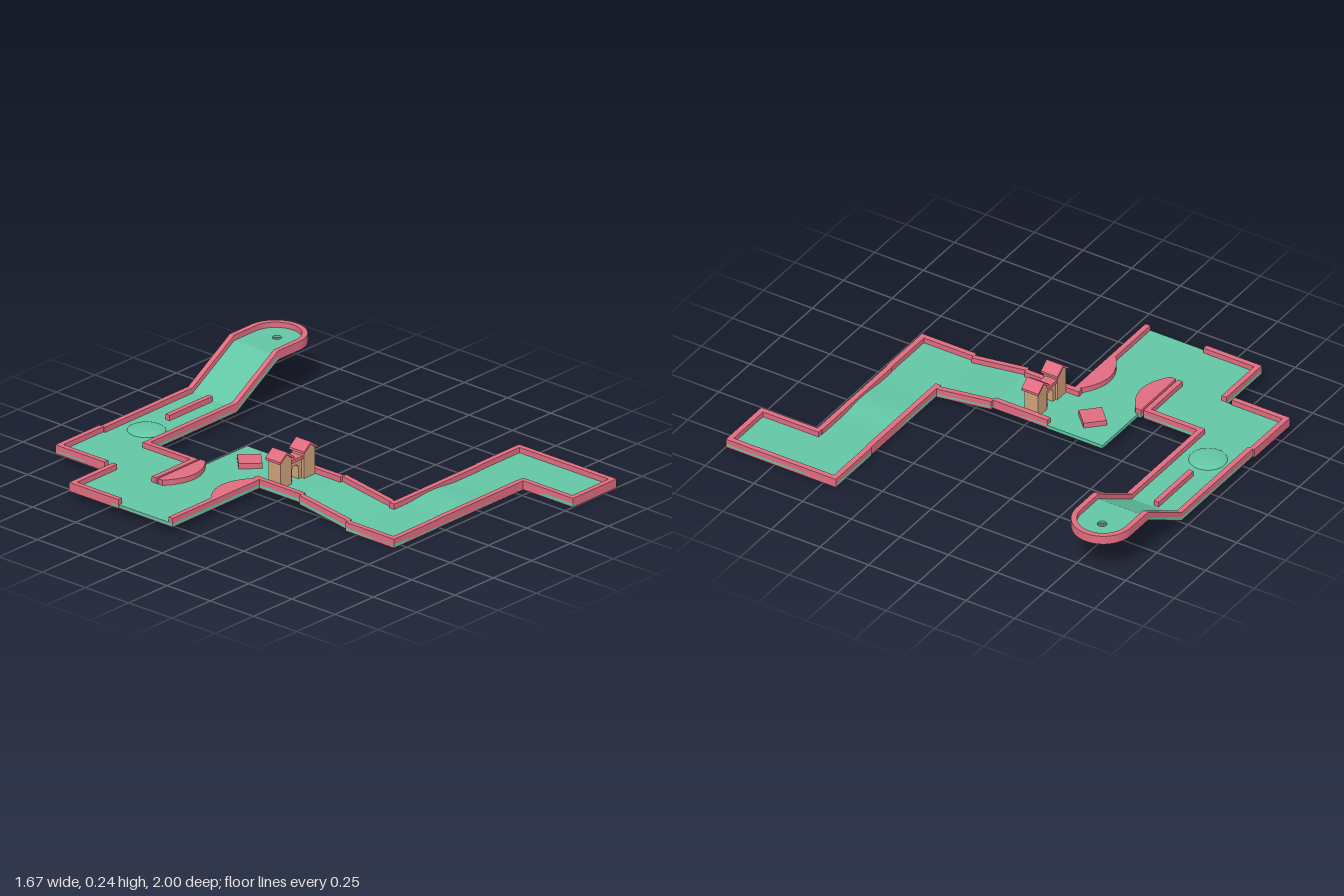
import * as THREE from 'three';

const mat = (color) => new THREE.MeshStandardMaterial({ color, side: THREE.DoubleSide });
const WALL = 0.042, BASE = 0.004, FLOOR = 0.017, T = 0.025;
const MID = 0.04, TOP = 0.2; // heights of the raised levels

export function createModel() {
  const red = mat(0xe06c80), green = mat(0x62c6a4), tan = mat(0xd0a07c), dark = mat(0x5c6b66);
  const course = new THREE.Group();
  course.name = 'miniGolfCourse';

  const add = (name, geo, material, parent = course) => {
    const mesh = new THREE.Mesh(geo, material);
    mesh.name = name;
    parent.add(mesh);
    return mesh;
  };

  // Box from its limits; lift(x, z) optionally raises the vertices
  const block = (name, material, [x0, x1], [y0, y1], [z0, z1], lift, parent) => {
    const geo = new THREE.BoxGeometry(x1 - x0, y1 - y0, z1 - z0);
    geo.translate((x0 + x1) / 2, (y0 + y1) / 2, (z0 + z1) / 2);
    if (lift) {
      const p = geo.attributes.position;
      for (let i = 0; i < p.count; i++) p.setY(i, p.getY(i) + lift(p.getX(i), p.getZ(i)));
      geo.computeVertexNormals();
    }
    return add(name, geo, material, parent);
  };

  // One tile: red base, green carpet and walls given as [xRange, zRange]
  const tile = (name, x, z, y, walls = [], lift) => {
    const g = new THREE.Group();
    g.name = name;
    course.add(g);
    block('base', red, x, [y, y + BASE], z, lift, g);
    block('carpet', green, x, [y + BASE, y + FLOOR], z, lift, g);
    walls.forEach(([wx, wz]) => block('wall', red, wx, [y, y + WALL], wz, lift, g));
    return g;
  };
  // Walls on both long sides of a straight tile
  const sidesX = (x, [z0, z1]) => [[x, [z0, z0 + T]], [x, [z1 - T, z1]]];
  const sidesZ = ([x0, x1], z) => [[[x0, x0 + T], z], [[x1 - T, x1], z]];

  // Lower level
  tile('startTile', [0.55, 0.835], [0.715, 1], 0, [
    [[0.55, 0.575], [0.69, 1]], [[0.81, 0.835], [0.715, 1]], [[0.575, 0.81], [0.975, 1]]]);
  tile('startCorner', [0.55, 0.835], [0.435, 0.715], 0, [
    [[0.55, 0.81], [0.435, 0.46]], [[0.81, 0.835], [0.435, 0.715]]]);
  tile('bumpTile', [-0.01, 0.55], [0.438, 0.712], 0, sidesX([-0.01, 0.55], [0.438, 0.712]));
  tile('lowerCorner', [-0.295, -0.01], [0.435, 0.715], 0, [
    [[-0.295, -0.27], [0.435, 0.715]], [[-0.27, -0.01], [0.69, 0.715]], [[-0.01, 0.015], [0.435, 0.46]]]);

  // Gentle wave across the lower lane
  const wave = new THREE.Shape();
  wave.moveTo(0.055, FLOOR - 0.002);
  for (let i = 0; i <= 16; i++) {
    wave.lineTo(0.055 + 0.355 * i / 16, FLOOR + 0.012 * Math.sin(Math.PI * i / 16) ** 2);
  }
  wave.lineTo(0.41, FLOOR - 0.002);
  const waveGeo = new THREE.ExtrudeGeometry(wave, { depth: 0.224, bevelEnabled: false });
  add('wave', waveGeo.translate(0, 0, 0.463), green);

  // Ramp up to the middle level
  tile('lowerRamp', [-0.28, 0.025], [0.155, 0.435], 0, sidesZ([-0.28, 0.025], [0.155, 0.435]),
    (x, z) => MID * (0.435 - z) / 0.28);

  // Middle level
  tile('castleTile', [-0.265, 0.012], [-0.125, 0.155], MID, sidesZ([-0.265, 0.012], [-0.125, 0.155]));
  block('openTile', green, [-0.27, 0.015], [MID, MID + FLOOR], [-0.41, -0.125]);
  tile('narrowTile', [-0.55, -0.27], [-0.425, -0.09], MID);
  tile('openSideTile', [-0.83, -0.55], [-0.4, -0.09], MID, [[[-0.83, -0.55], [-0.115, -0.09]]]);
  tile('westCorner', [-0.835, -0.55], [-0.685, -0.4], MID, [
    [[-0.835, -0.81], [-0.685, -0.4]], [[-0.81, -0.55], [-0.685, -0.66]]]);
  tile('innerCorner', [-0.55, -0.275], [-0.715, -0.435], MID, [
    [[-0.3, -0.275], [-0.715, -0.435]], [[-0.55, -0.3], [-0.46, -0.435]]]);
  tile('backCorner', [-0.57, -0.285], [-1, -0.715], MID, [
    [[-0.57, -0.545], [-1, -0.715]], [[-0.545, -0.285], [-1, -0.975]], [[-0.3, -0.275], [-0.735, -0.71]]]);
  tile('moundTile', [-0.285, 0], [-0.99, -0.71], MID, sidesX([-0.285, 0], [-0.99, -0.71]));
  tile('dividerTile', [0, 0.285], [-0.99, -0.71], MID, [
    ...sidesX([0, 0.285], [-0.99, -0.71]), [[-0.005, 0.275], [-0.865, -0.84]]]);

  // Curved bumpers pinching the narrow tile
  const bumper = (zEdge, dir) => {
    const s = new THREE.Shape();
    s.moveTo(-0.55, 0);
    s.lineTo(-0.55, 0.028 * dir);
    for (let i = 1; i <= 16; i++) {
      const u = i / 8 - 1;
      s.lineTo(-0.41 + 0.14 * u, (0.028 + 0.058 * (1 - u * u)) * dir);
    }
    s.lineTo(-0.27, 0);
    const geo = new THREE.ExtrudeGeometry(s, { depth: WALL - BASE, bevelEnabled: false });
    geo.rotateX(Math.PI / 2).translate(0, MID + WALL, zEdge);
    add('curvedBumper', geo, red);
  };
  bumper(-0.09, -1);
  bumper(-0.425, 1);
  block('bumperWallEnd', red, [-0.27, -0.245], [MID, MID + WALL], [-0.115, -0.09]);

  // Diamond obstacle
  const diamond = add('diamondObstacle', new THREE.BoxGeometry(0.103, 0.027, 0.103), red);
  diamond.position.set(-0.125, MID + FLOOR + 0.0115, -0.27);
  diamond.rotation.y = Math.PI / 4;

  // Low round mound
  const mound = add('mound', new THREE.SphereGeometry(0.085, 32, 8, 0, Math.PI * 2, 0, Math.PI / 2), green);
  mound.scale.y = 0.2;
  mound.position.set(-0.145, MID + FLOOR - 0.001, -0.85);

  // Upper ramp and rounded end with the hole
  tile('upperRamp', [0.285, 0.555], [-0.99, -0.71], MID, sidesX([0.285, 0.555], [-0.99, -0.71]),
    (x) => (TOP - MID) * (x - 0.285) / 0.27);
  const endOutline = (r, Kind = THREE.Shape) => {
    const s = new Kind();
    s.moveTo(0.555, -r);
    s.lineTo(0.695, -r);
    s.absarc(0.695, 0, r, -Math.PI / 2, Math.PI / 2, false);
    s.lineTo(0.555, r);
    s.closePath();
    return s;
  };
  const slab = (name, shape, y0, y1, material) => {
    const geo = new THREE.ExtrudeGeometry(shape, { depth: y1 - y0, bevelEnabled: false, curveSegments: 24 });
    add(name, geo.rotateX(-Math.PI / 2).translate(0, y0, -0.85), material);
  };
  const R = 0.14, r = R - T;
  slab('endBase', endOutline(R), TOP, TOP + BASE, red);
  const carpet = endOutline(r);
  const hole = new THREE.Path();
  hole.absarc(0.705, 0, 0.021, 0, Math.PI * 2, true);
  carpet.holes.push(hole);
  slab('endCarpet', carpet, TOP + BASE, TOP + FLOOR, green);
  const rim = new THREE.Shape();
  rim.moveTo(0.555, -R);
  rim.lineTo(0.695, -R);
  rim.absarc(0.695, 0, R, -Math.PI / 2, Math.PI / 2, false);
  rim.lineTo(0.555, R);
  rim.lineTo(0.555, r);
  rim.lineTo(0.695, r);
  rim.absarc(0.695, 0, r, Math.PI / 2, -Math.PI / 2, true);
  rim.lineTo(0.555, -r);
  slab('endWall', rim, TOP + BASE, TOP + WALL, red);
  const cup = add('cup', new THREE.CylinderGeometry(0.021, 0.021, 0.002, 24), dark);
  cup.position.set(0.705, TOP + BASE + 0.002, -0.85);

  // Castle: two gabled towers joined by an arched gate
  const castle = new THREE.Group();
  castle.name = 'castle';
  course.add(castle);
  const ground = MID + FLOOR - 0.003;
  for (const x of [-0.205, -0.05]) {
    const s = new THREE.Shape();
    s.moveTo(x - 0.036, ground);
    s.lineTo(x + 0.036, ground);
    s.lineTo(x + 0.036, 0.182);
    s.lineTo(x, 0.21);
    s.lineTo(x - 0.036, 0.182);
    const body = new THREE.ExtrudeGeometry(s, { depth: 0.07, bevelEnabled: false });
    add('tower', body.translate(0, 0, -0.06), tan, castle);

    const roof = new THREE.Shape();
    roof.moveTo(x - 0.046, 0.176);
    roof.lineTo(x, 0.209);
    roof.lineTo(x + 0.046, 0.176);
    roof.lineTo(x + 0.046, 0.187);
    roof.lineTo(x, 0.221);
    roof.lineTo(x - 0.046, 0.187);
    const roofGeo = new THREE.ExtrudeGeometry(roof, { depth: 0.086, bevelEnabled: false });
    add('towerRoof', roofGeo.translate(0, 0, -0.068), red, castle);
  }
  const gate = new THREE.Shape();
  gate.moveTo(-0.17, ground);
  gate.lineTo(-0.15, ground);
  gate.lineTo(-0.15, 0.106);
  gate.absarc(-0.1275, 0.106, 0.0225, Math.PI, 0, true);
  gate.lineTo(-0.105, ground);
  gate.lineTo(-0.085, ground);
  gate.lineTo(-0.085, 0.148);
  gate.lineTo(-0.17, 0.148);
  const gateGeo = new THREE.ExtrudeGeometry(gate, { depth: 0.045, bevelEnabled: false });
  add('gate', gateGeo.translate(0, 0, -0.05), tan, castle);
  block('gateRoof', red, [-0.17, -0.085], [0.147, 0.162], [-0.058, 0.003], null, castle);

  return course;
}
